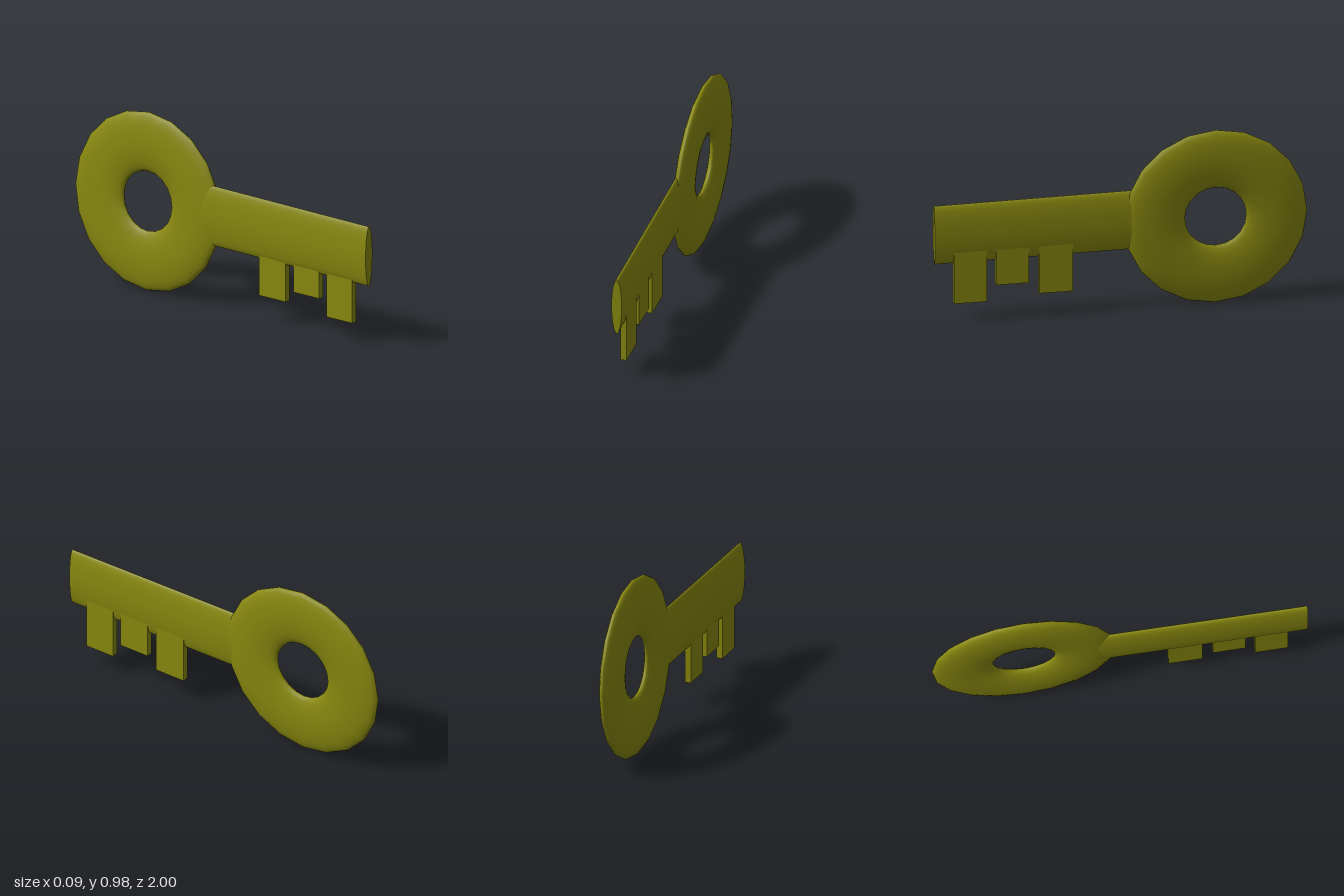
import * as THREE from 'three';

export function createModel() {
  const key = new THREE.Group();
  key.name = 'key';
  const brass = new THREE.MeshStandardMaterial({ color: 0x8a8a10 });

  function add(name, geometry, x, y, z) {
    const mesh = new THREE.Mesh(geometry, brass);
    mesh.name = name;
    mesh.position.set(x, y, z);
    key.add(mesh);
    return mesh;
  }

  // Bow: a flattened ring standing in the yz plane, leaning very slightly
  const ring = new THREE.TorusGeometry(0.3275, 0.163, 24, 20);
  ring.scale(1, 1, 0.0375 / 0.163).rotateY(Math.PI / 2);
  add('bow', ring, -0.0015, 0.495, -0.508).rotation.z = -0.018;

  // Shaft: an elliptical rod running forward from inside the bow
  const rod = new THREE.CylinderGeometry(1, 1, 1.17, 40);
  rod.rotateX(Math.PI / 2).scale(0.028, 0.165, 1);
  add('shaft', rod, -0.007, 0.503, 0.415).rotation.x = 0.009;

  // Teeth: [back z, front z, bottom y], their tops buried in the shaft
  const teeth = [[0.72, 0.895, 0.11], [0.495, 0.67, 0.2], [0.26, 0.44, 0.135]];
  const top = 0.45;
  teeth.forEach(([back, front, bottom], i) => {
    const box = new THREE.BoxGeometry(0.033, top - bottom, front - back);
    add(`tooth${i + 1}`, box, -0.0015, (top + bottom) / 2, (front + back) / 2);
  });

  return key;
}
